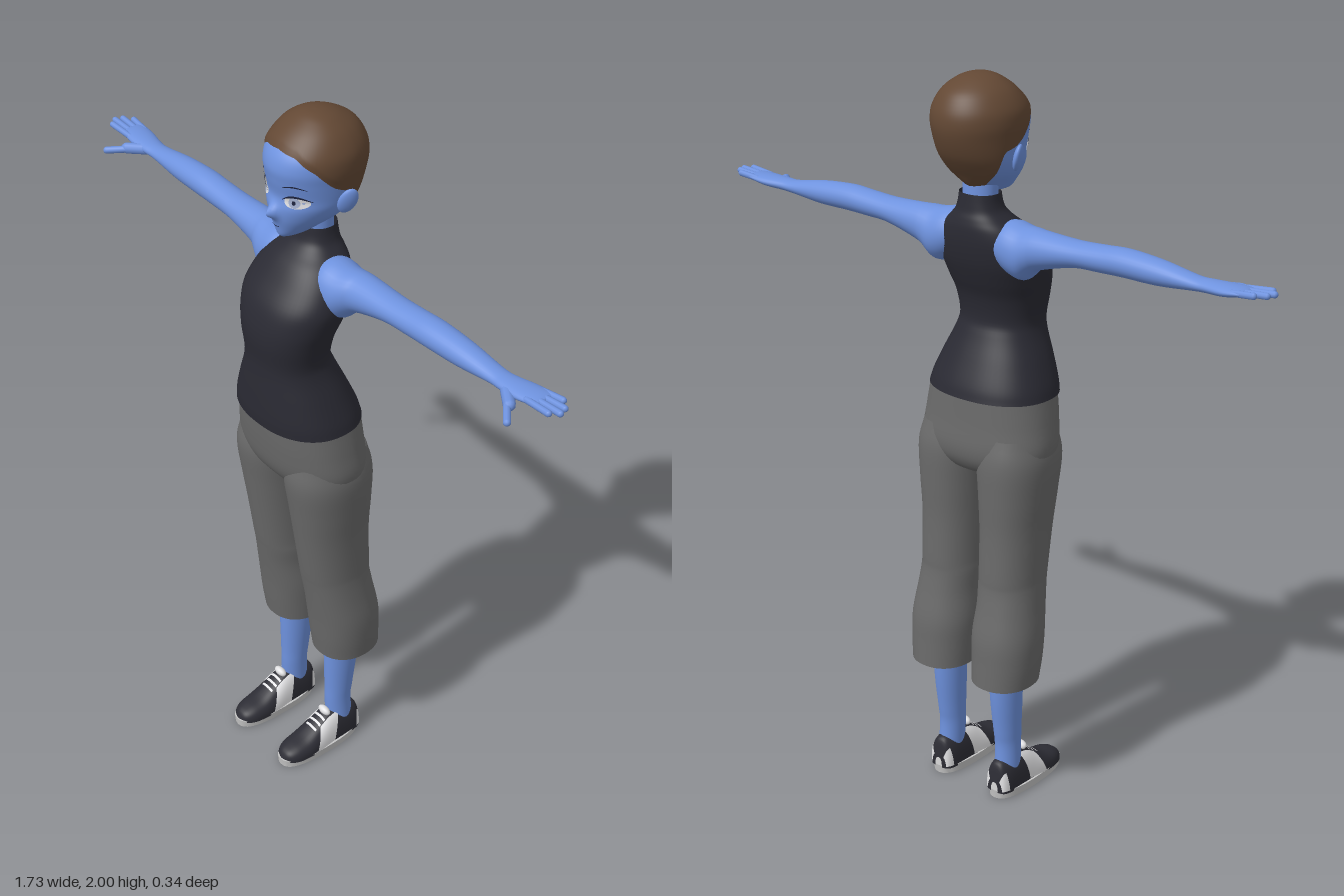
import * as THREE from 'three';
import { mergeVertices, toCreasedNormals } from 'three/addons/utils/BufferGeometryUtils.js';

const mat = (name, color, side = THREE.FrontSide) => {
  const m = new THREE.MeshStandardMaterial({ color, side });
  m.name = name;
  return m;
};

// Smooth interpolation through rows of numbers; t runs from 0 to rows.length - 1
function rowAt(rows, t) {
  const n = rows.length - 1, i = Math.min(n - 1, Math.max(0, Math.floor(t))), f = t - i;
  return rows[i].map((b, k) => {
    const c = rows[i + 1][k];
    const a = i > 0 ? rows[i - 1][k] : 2 * b - c;
    const d = i < n - 1 ? rows[i + 2][k] : 2 * c - b;
    return b + 0.5 * f * (c - a + f * (2 * a - 5 * b + 4 * c - d + f * (3 * (b - c) + d - a)));
  });
}

// Surface from point(u, v), optionally closed around u
function grid(point, nu, nv, closed = false) {
  const pos = [], idx = [], w = closed ? nu : nu + 1;
  for (let j = 0; j <= nv; j++) for (let i = 0; i < w; i++) pos.push(...point(i / nu, j / nv));
  for (let j = 0; j < nv; j++) for (let i = 0; i < nu; i++) {
    const a = j * w + i, b = j * w + (i + 1) % w;
    idx.push(a, b, a + w, b, b + w, a + w);
  }
  const g = new THREE.BufferGeometry();
  g.setAttribute('position', new THREE.Float32BufferAttribute(pos, 3));
  g.setIndex(idx);
  g.computeVertexNormals();
  return g;
}

const spow = (v, e) => Math.sign(v) * Math.abs(v) ** e;

// Upright loft, rows of [y, cx, cz, rx, rz]; n is the squareness of the section
function loftY(rows, n = 2, nv = (rows.length - 1) * 5, nu = 40) {
  return grid((u, v) => {
    const [y, cx, cz, rx, rz] = rowAt(rows, v * (rows.length - 1)), a = u * Math.PI * 2;
    return [cx + rx * spow(Math.sin(a), 2 / n), y, cz + rz * spow(Math.cos(a), 2 / n)];
  }, nu, nv, true);
}

// Sideways loft, rows of [x, cy, cz, ry, rz]
function loftX(rows) {
  return grid((u, v) => {
    const [x, cy, cz, ry, rz] = rowAt(rows, v * (rows.length - 1)), a = u * Math.PI * 2;
    return [x, cy + ry * Math.cos(a), cz + rz * Math.sin(a)];
  }, 28, (rows.length - 1) * 4, true);
}

// Centred row from half width, front z and back z
const body = ([y, w, zf, zb]) => [y, 0, (zf + zb) / 2, w, (zf - zb) / 2];

function mirror(geo) {
  const g = geo.index ? geo.clone() : mergeVertices(geo);
  g.scale(-1, 1, 1);
  const ix = g.index.array;
  for (let i = 0; i < ix.length; i += 3) [ix[i], ix[i + 1]] = [ix[i + 1], ix[i]];
  return g;
}

function capsule(a, b, r) {
  const p = new THREE.Vector3(...a), q = new THREE.Vector3(...b), d = q.clone().sub(p);
  const g = new THREE.CapsuleGeometry(r, d.length() - r, 4, 10);
  g.applyQuaternion(new THREE.Quaternion().setFromUnitVectors(new THREE.Vector3(0, 1, 0), d.normalize()));
  return g.translate(...p.add(q).multiplyScalar(0.5).toArray());
}

// Head rows: y, half width, front z, widest z, back z
const HEAD = [
  [1.688, 0.004, 0.068, 0.06, 0.052], [1.698, 0.028, 0.079, 0.03, -0.04], [1.72, 0.053, 0.085, 0.01, -0.075],
  [1.75, 0.083, 0.092, -0.02, -0.098], [1.78, 0.1, 0.094, -0.03, -0.122], [1.81, 0.107, 0.088, -0.035, -0.142],
  [1.85, 0.112, 0.095, -0.035, -0.158], [1.885, 0.116, 0.098, -0.035, -0.164], [1.92, 0.111, 0.085, -0.035, -0.158],
  [1.957, 0.088, 0.05, -0.035, -0.135], [1.982, 0.056, 0.015, -0.035, -0.095],
  [1.993, 0.026, -0.01, -0.035, -0.062], [1.996, 0, -0.035, -0.035, -0.035],
];
const HN = HEAD.length - 1;
function headPoint(a, t) {
  const [y, w, zf, zc, zb] = rowAt(HEAD, t), c = Math.cos(a), x = w * Math.sin(a);
  let z = zc + (c > 0 ? zf - zc : zc - zb) * c;
  if (c > 0) z += 0.024 * Math.exp(-((x / 0.013) ** 2) - ((y - 1.767) / 0.017) ** 2); // nose
  return [x, y, z];
}
function headT(y) {
  let lo = 0, hi = HN;
  for (let i = 0; i < 30; i++) {
    const m = (lo + hi) / 2;
    if (rowAt(HEAD, m)[0] < y) lo = m; else hi = m;
  }
  return lo;
}
// Point lying on the face, lifted a little
function onFace(x, y, lift) {
  const t = headT(y);
  const p = headPoint(Math.asin(x / rowAt(HEAD, t)[1]), t);
  return [x, y, p[2] + lift];
}
function faceDisc(x, y, rx, ry, lift) {
  const g = new THREE.CircleGeometry(1, 28), p = g.attributes.position;
  for (let i = 0; i < p.count; i++) p.setXYZ(i, ...onFace(x + rx * p.getX(i), y + ry * p.getY(i), lift));
  g.computeVertexNormals();
  return g;
}
// Tapered arched line on the face
const faceLine = (x, y, half, rise, thick, lift) => grid((u, v) => {
  const k = u * 2 - 1, s = 1 - k * k;
  return onFace(x + half * k, y + rise * s + thick * (v - 0.5) * (0.25 + 0.75 * s), lift);
}, 14, 1);

// Hairline height by angle from the front
const HAIRLINE = [[0, 1.93], [0.5, 1.923], [0.95, 1.89], [1.3, 1.845], [1.55, 1.828], [1.85, 1.82], [2.1, 1.765], [2.45, 1.725], [3.15, 1.71]];
function hairline(a) {
  const i = Math.max(1, HAIRLINE.findIndex((p) => p[0] >= a)), [p, q] = [HAIRLINE[i - 1], HAIRLINE[i]];
  return p[1] + (q[1] - p[1]) * (a - p[0]) / (q[0] - p[0]);
}

// Shoe rows: z, half width, height above the sole
const SHOE = [[-0.104, 0.012, 0.03], [-0.097, 0.03, 0.08], [-0.075, 0.038, 0.093], [-0.03, 0.041, 0.1], [0.01, 0.043, 0.093],
  [0.05, 0.046, 0.068], [0.09, 0.047, 0.046], [0.13, 0.042, 0.036], [0.155, 0.028, 0.025], [0.167, 0.004, 0.004]];
function shoePoint(t, a, off) {
  const [z, w, h] = rowAt(SHOE, t);
  return [0.102 + (w + off) * spow(Math.cos(a), 0.8), 0.018 + (h + off) * spow(Math.sin(a), 0.8), z];
}
const shoePatch = (t0, t1, a0, a1, skew, off, nu = 10, nv = 12) => grid((u, v) =>
  shoePoint(t0 + (t1 - t0) * v + skew * u, a1 + (a0 - a1) * u, off), nu, nv);

export function createModel() {
  const model = new THREE.Group();
  const skin = mat('skin', 0x6e92de), hairM = mat('hair', 0x634834), white = mat('white', 0xe2e2e4, THREE.DoubleSide);
  const shirtM = mat('shirt', 0x2a2a33, THREE.DoubleSide), pantsM = mat('trousers', 0x6a6a6a, THREE.DoubleSide);
  const shoeM = mat('shoe', 0x2d2d35, THREE.DoubleSide), soleM = mat('sole', 0xc4c4c4);
  const lineM = mat('lashes', 0x1f2540, THREE.DoubleSide), irisM = mat('iris', 0xa9b6d6);
  const add = (name, geo, m) => {
    const mesh = new THREE.Mesh(geo, m);
    mesh.name = name;
    model.add(mesh);
  };
  const pair = (name, geo, m) => {
    add('left ' + name, geo, m);
    add('right ' + name, mirror(geo), m);
  };

  // Head and hair cap
  add('head', grid((u, v) => headPoint(u * Math.PI * 2, v * HN), 80, 72, true), skin);
  add('hair', grid((u, v) => {
    const a = u * Math.PI * 2, t0 = headT(hairline(Math.min(a, Math.PI * 2 - a)));
    const p = headPoint(a, t0 + (HN - t0) * v), k = 1.004 + 0.026 * Math.min(1, v * 10);
    return [p[0] * k, 1.88 + (p[1] - 1.88) * k, -0.035 + (p[2] + 0.035) * k];
  }, 80, 40, true), hairM);
  const ear = new THREE.SphereGeometry(1, 18, 14).scale(0.011, 0.037, 0.024);
  ear.rotateX(-0.2).rotateY(-0.45).rotateZ(-0.25).translate(0.119, 1.803, -0.036);
  pair('ear', ear, skin);
  add('neck', loftY([[1.6, 0, -0.04, 0.052, 0.045], [1.66, 0, -0.038, 0.047, 0.042], [1.76, 0, -0.033, 0.047, 0.043]]), skin);

  // Face details
  pair('eye white', faceDisc(0.056, 1.807, 0.026, 0.016, 0.002), white);
  pair('iris', faceDisc(0.054, 1.807, 0.012, 0.0145, 0.0035), irisM);
  pair('pupil', faceDisc(0.054, 1.807, 0.004, 0.006, 0.005), lineM);
  pair('upper lash', faceLine(0.057, 1.811, 0.03, 0.013, 0.006, 0.005), lineM);
  pair('eyebrow', faceLine(0.056, 1.844, 0.026, 0.008, 0.004, 0.003), lineM);
  add('mouth', faceLine(0, 1.729, 0.014, -0.003, 0.003, 0.002), lineM);

  // Sleeveless high-necked top
  add('top', loftY([
    [1.166, 0.181, 0.155, -0.118], [1.2, 0.172, 0.157, -0.108], [1.26, 0.148, 0.155, -0.082], [1.32, 0.122, 0.152, -0.055],
    [1.36, 0.115, 0.152, -0.042], [1.42, 0.126, 0.157, -0.05], [1.47, 0.14, 0.152, -0.07], [1.52, 0.148, 0.135, -0.088],
    [1.57, 0.136, 0.1, -0.098], [1.61, 0.112, 0.068, -0.1], [1.635, 0.085, 0.04, -0.096], [1.655, 0.066, 0.022, -0.09],
    [1.675, 0.058, 0.014, -0.087], [1.7, 0.054, 0.01, -0.084]].map(body), 2.25, 65, 56), shirtM);

  // Arms and hands
  pair('arm', loftX([
    [0.06, 1.58, -0.02, 0.05, 0.058], [0.1, 1.57, -0.02, 0.068, 0.067], [0.14, 1.562, -0.022, 0.07, 0.065],
    [0.17, 1.574, -0.026, 0.058, 0.057], [0.2, 1.582, -0.03, 0.049, 0.05], [0.3, 1.593, -0.03, 0.034, 0.042],
    [0.38, 1.597, -0.03, 0.034, 0.04], [0.45, 1.6, -0.03, 0.035, 0.04], [0.55, 1.597, -0.032, 0.031, 0.036],
    [0.65, 1.594, -0.034, 0.018, 0.028], [0.69, 1.595, -0.034, 0.016, 0.03], [0.74, 1.598, -0.038, 0.015, 0.036],
    [0.78, 1.603, -0.041, 0.011, 0.035], [0.798, 1.605, -0.041, 0.006, 0.031], [0.802, 1.605, -0.041, 0.001, 0.005]]), skin);
  [[0.846, -0.009], [0.863, -0.029], [0.856, -0.05], [0.832, -0.069]].forEach(([tip, z], i) =>
    pair('finger ' + (i + 1), capsule([0.765, 1.602, -0.041 + (z + 0.041) * 0.85], [tip, 1.609, z], 0.0085), skin));
  pair('thumb base', capsule([0.695, 1.592, -0.022], [0.75, 1.586, 0.018], 0.015), skin);
  pair('thumb', capsule([0.73, 1.588, 0.008], [0.784, 1.578, 0.058], 0.0095), skin);

  // Cropped trousers
  add('trouser seat', loftY([
    [1.178, 0.176, 0.148, -0.114], [1.1, 0.19, 0.141, -0.119], [1.03, 0.198, 0.129, -0.124], [0.985, 0.178, 0.106, -0.112],
    [0.955, 0.1, 0.07, -0.08], [0.945, 0.005, 0.0, -0.01]].map(body).reverse(), 2.25, 30, 56), pantsM);
  pair('trouser leg', loftY([
    [0.365, 0.106, -0.062, 0.086, 0.093], [0.43, 0.107, -0.056, 0.091, 0.096], [0.5, 0.106, -0.05, 0.093, 0.098],
    [0.58, 0.104, -0.036, 0.086, 0.096], [0.64, 0.1, -0.026, 0.084, 0.096], [0.68, 0.1, -0.022, 0.083, 0.099],
    [0.8, 0.1, -0.011, 0.086, 0.106], [0.9, 0.101, -0.005, 0.093, 0.115], [1.0, 0.1, 0.001, 0.099, 0.122],
    [1.07, 0.098, 0.004, 0.085, 0.11]], 2.2), pantsM);

  // Lower legs
  pair('lower leg', loftY([
    [0.08, 0.102, -0.045, 0.034, 0.04], [0.15, 0.1, -0.042, 0.034, 0.04], [0.2, 0.1, -0.045, 0.036, 0.043],
    [0.3, 0.1, -0.05, 0.041, 0.05], [0.43, 0.1, -0.053, 0.044, 0.054]]), skin);

  // Saddle shoes
  const sole = loftY([[0, 0.102, 0.032, 0.001, 0.001], [0, 0.102, 0.032, 0.047, 0.136],
    [0.024, 0.102, 0.032, 0.049, 0.138], [0.024, 0.102, 0.032, 0.001, 0.001]], 2.5, 3, 48);
  pair('sole', toCreasedNormals(sole, 0.7), soleM);
  const SN = SHOE.length - 1;
  pair('shoe upper', shoePatch(0, SN, 0, Math.PI, 0, 0, 24, 45), shoeM);
  pair('outer saddle', shoePatch(3.1, 4.8, 0.05, 1.15, 0.7, 0.002), white);
  pair('inner saddle', shoePatch(3.8, 5.5, Math.PI - 1.15, Math.PI - 0.05, -0.7, 0.002), white);
  pair('outer heel patch', shoePatch(0.3, 1.5, 0.05, 0.7, 0.3, 0.002), white);
  pair('inner heel patch', shoePatch(0.6, 1.8, Math.PI - 0.7, Math.PI - 0.05, -0.3, 0.002), white);
  for (let i = 0; i < 3; i++)
    pair('lace ' + (i + 1), shoePatch(4.3 + i * 0.4, 4.45 + i * 0.4, 1.2, Math.PI - 1.2, 0, 0.003, 8, 2), white);
  const tongue = new THREE.SphereGeometry(1, 16, 10).scale(0.022, 0.014, 0.012).rotateX(0.5).translate(0.102, 0.118, 0.008);
  pair('tongue', tongue, white);
  return model;
}
